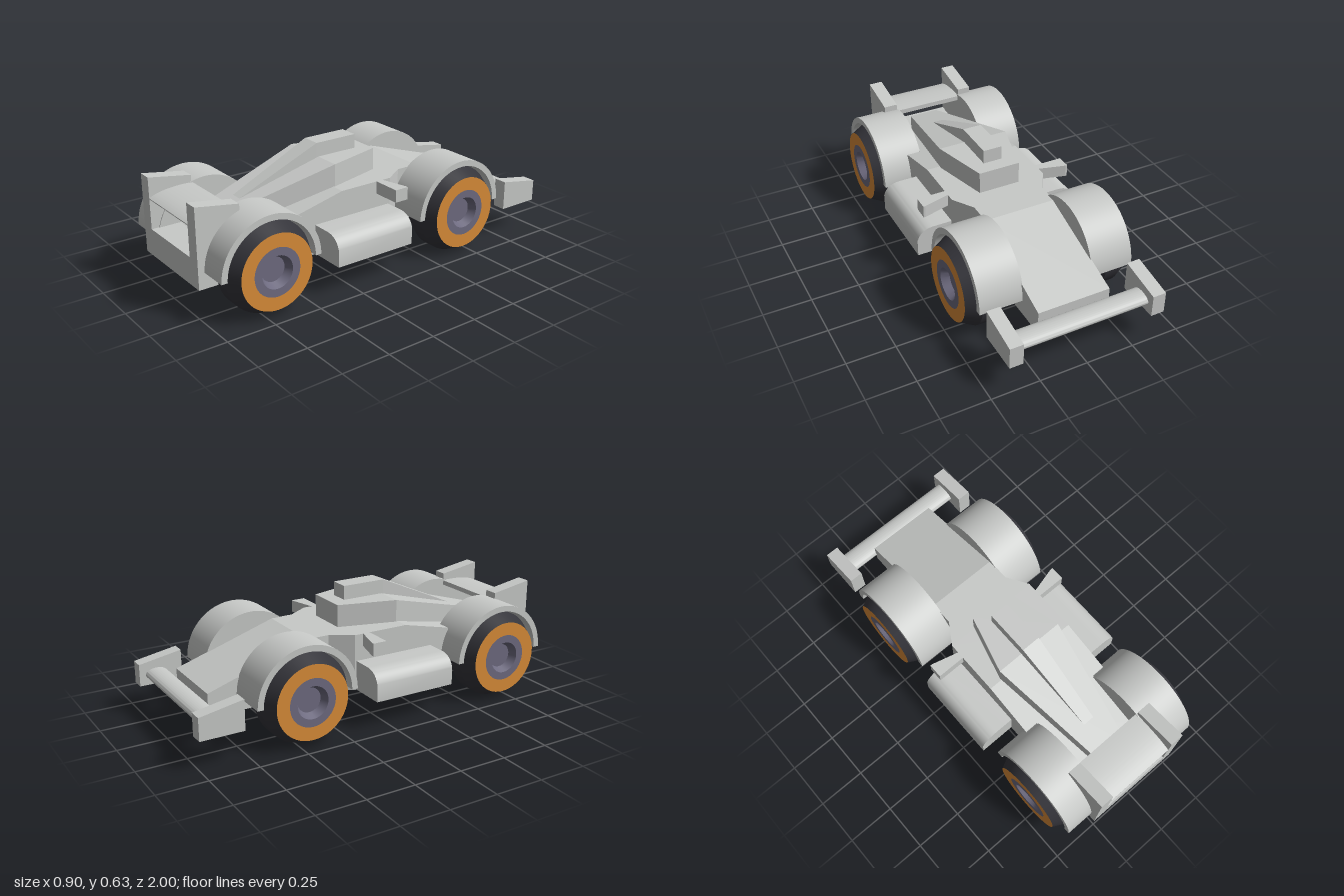
import * as THREE from 'three';
import { toCreasedNormals } from 'three/addons/utils/BufferGeometryUtils.js';

const mat = (name, color) => Object.assign(new THREE.MeshStandardMaterial({ color }), { name });

// Loft of rectangular sections [z, x0, x1, y0, y1], listed from high z to low z
function loft(sections) {
  const pos = [];
  const quad = (a, b, c, d) => pos.push(...a, ...b, ...c, ...a, ...c, ...d);
  const rings = sections.map(([z, x0, x1, y0, y1]) =>
    [[x0, y0, z], [x1, y0, z], [x1, y1, z], [x0, y1, z]]);
  quad(...rings[0]);
  for (let i = 0; i < rings.length - 1; i++) {
    const a = rings[i], b = rings[i + 1];
    for (let k = 0; k < 4; k++) {
      const n = (k + 1) % 4;
      quad(a[k], b[k], b[n], a[n]);
    }
  }
  quad(...[...rings[rings.length - 1]].reverse());
  const g = new THREE.BufferGeometry();
  g.setAttribute('position', new THREE.Float32BufferAttribute(pos, 3));
  g.computeVertexNormals();
  return g;
}
// Centred sections [z, halfWidth, y0, y1]
const centred = (list) => loft(list.map(([z, w, y0, y1]) => [z, -w, w, y0, y1]));
// Sections on one side, s = 1 or -1
const sided = (s, list) => loft(list.map(([z, a, b, y0, y1]) =>
  s > 0 ? [z, a, b, y0, y1] : [z, -b, -a, y0, y1]));

// Shape drawn in (-z, y), extruded along x from x0
function acrossX(shape, x0, width) {
  const g = new THREE.ExtrudeGeometry(shape, { depth: width, bevelEnabled: false, curveSegments: 32 });
  g.rotateY(Math.PI / 2);
  g.translate(x0, 0, 0);
  return toCreasedNormals(g, 0.6);
}

export function createModel() {
  const group = new THREE.Group();
  group.name = 'raceCar';
  const body = mat('body grey', 0xc8cac8);
  const rubber = mat('tyre black', 0x34343a);
  const orange = mat('tyre band orange', 0xd98c38);
  const metal = mat('hub grey', 0x6e6b80);

  const add = (name, geo, material, parent = group) => {
    const m = new THREE.Mesh(geo, material);
    m.name = name;
    parent.add(m);
    return m;
  };

  // Hull with stepped sides and a sloping nose
  add('hull', centred([
    [1, 0.26, 0.15, 0.29], [0.85, 0.26, 0.15, 0.29],
    [0.77, 0.26, 0.15, 0.308], [0.77, 0.19, 0.15, 0.308],
    [0.47, 0.19, 0.15, 0.378], [0.47, 0.26, 0.15, 0.378],
    [0.2, 0.26, 0.15, 0.44], [-0.1, 0.26, 0.15, 0.44],
    [-0.21, 0.19, 0.15, 0.44], [-0.33, 0.19, 0.15, 0.44],
    [-0.86, 0.19, 0.15, 0.27],
  ]), body);

  // Engine cover and air scoop
  add('engineCover', centred([
    [0.85, 0.08, 0.28, 0.375], [0.19, 0.19, 0.43, 0.555], [-0.11, 0.11, 0.43, 0.555],
  ]), body);
  add('airScoop', centred([
    [0.64, 0.03, 0.4, 0.432], [0.2, 0.05, 0.5, 0.628], [-0.035, 0.05, 0.5, 0.628],
  ]), body);

  // Rear wing blade, cambered
  const blade = new THREE.Shape();
  blade.moveTo(-1, 0.445);
  blade.lineTo(-0.77, 0.455);
  blade.lineTo(-0.77, 0.48);
  blade.quadraticCurveTo(-0.93, 0.487, -1, 0.45);
  add('rearWing', acrossX(blade, -0.2, 0.4), body);

  // Front wing bar
  const bar = new THREE.Shape();
  bar.absellipse(0.91, 0.205, 0.057, 0.03, 0, Math.PI * 2, false, 0);
  add('frontWing', acrossX(bar, -0.35, 0.7), body);

  for (const s of [1, -1]) {
    const side = s > 0 ? 'left' : 'right';

    // Wing end plates
    add(side + 'RearEndPlate', sided(s, [
      [1, 0.19, 0.262, 0.15, 0.555], [0.775, 0.19, 0.262, 0.15, 0.518],
    ]), body);
    add(side + 'FrontEndPlate', sided(s, [
      [-0.775, 0.34, 0.41, 0.15, 0.305], [-1, 0.34, 0.41, 0.15, 0.265],
    ]), body);

    // Mirror swept towards the nose
    add(side + 'Mirror', sided(s, [
      [-0.015, 0.25, 0.41, 0.375, 0.44], [-0.05, 0.25, 0.41, 0.375, 0.44],
      [-0.09, 0.4, 0.41, 0.375, 0.44],
    ]), body);

    // Side pod with rounded shoulder
    const pod = new THREE.Shape();
    pod.moveTo(s * 0.25, 0.15);
    pod.lineTo(s * 0.45, 0.15);
    pod.lineTo(s * 0.45, 0.24);
    pod.quadraticCurveTo(s * 0.43, 0.302, s * 0.36, 0.303);
    pod.lineTo(s * 0.25, 0.303);
    const podGeo = new THREE.ExtrudeGeometry(pod, { depth: 0.45, bevelEnabled: false });
    podGeo.translate(0, 0, -0.09);
    add(side + 'SidePod', toCreasedNormals(podGeo, 0.6), body);

    for (const [end, z] of [['Rear', 0.7], ['Front', -0.445]]) {
      // Half-ring fender with a closed inner wall
      const arch = new THREE.Shape();
      arch.absarc(0, 0, 0.267, 0, Math.PI, false);
      arch.absarc(0, 0, 0.236, Math.PI, 0, true);
      const wall = new THREE.Shape();
      wall.absarc(0, 0, 0.25, 0, Math.PI, false);
      const fender = new THREE.Group();
      fender.name = side + end + 'Fender';
      fender.position.set(0, 0.23, z);
      add('arch', acrossX(arch, s > 0 ? 0.185 : -0.412, 0.227), body, fender);
      add('innerWall', acrossX(wall, s > 0 ? 0.185 : -0.215, 0.03), body, fender);
      group.add(fender);

      // Wheel turned from profiles of [radius, distance from centre line]
      const wheel = new THREE.Group();
      wheel.name = side + end + 'Wheel';
      wheel.position.set(0, 0.228, z);
      const turn = (name, pts, material) => {
        const g = new THREE.LatheGeometry(pts.map(p => new THREE.Vector2(...p)), 48);
        g.rotateZ(-s * Math.PI / 2);
        add(name, toCreasedNormals(g, 0.3), material, wheel);
      };
      turn('tyre', [[0, 0.225], [0.19, 0.225], [0.228, 0.3], [0.228, 0.375], [0.19, 0.45]], rubber);
      turn('tyreBand', [[0.19, 0.45], [0.122, 0.45]], orange);
      turn('hub', [[0.122, 0.45], [0.082, 0.45], [0.062, 0.41], [0, 0.41]], metal);
      group.add(wheel);
    }
  }
  return group;
}
